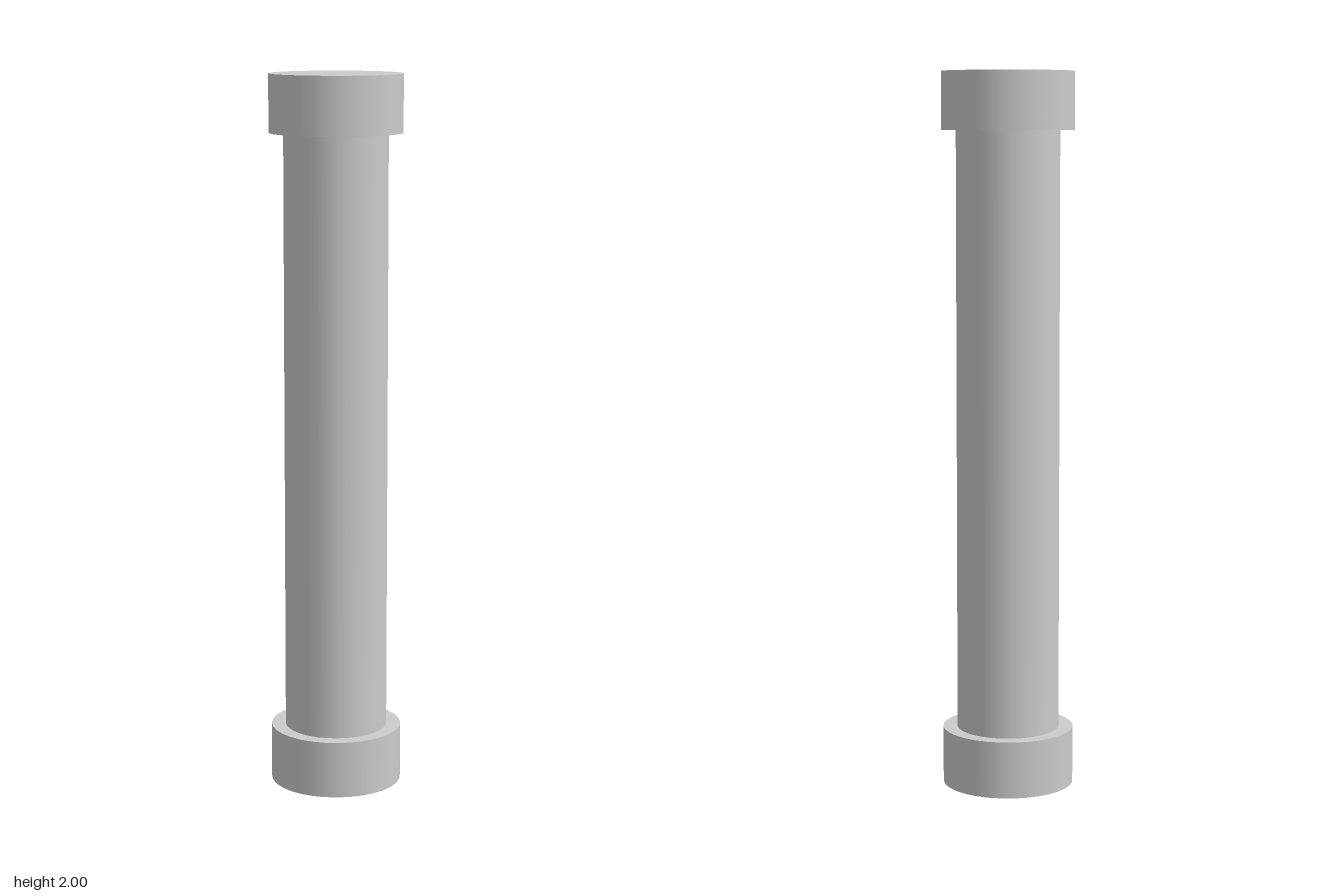
import * as THREE from 'three';

const SIDES = 32;
const HEIGHT = 2;
const CAP_HEIGHT = 0.16;
const CAP_RADIUS = 0.184;
const SHAFT_RADIUS = 0.144;

export function createModel() {
  const model = new THREE.Group();
  model.name = 'column';
  const material = new THREE.MeshStandardMaterial({ color: 0xcccccc });

  // Upright cylinder standing on the given height
  function addCylinder(name, radius, height, bottom) {
    const geometry = new THREE.CylinderGeometry(radius, radius, height, SIDES);
    const mesh = new THREE.Mesh(geometry, material);
    mesh.name = name;
    mesh.position.y = bottom + height / 2;
    model.add(mesh);
  }

  // Shaft between two wider round end blocks
  addCylinder('base', CAP_RADIUS, CAP_HEIGHT, 0);
  addCylinder('shaft', SHAFT_RADIUS, HEIGHT - 2 * CAP_HEIGHT, CAP_HEIGHT);
  addCylinder('capital', CAP_RADIUS, CAP_HEIGHT, HEIGHT - CAP_HEIGHT);

  return model;
}
